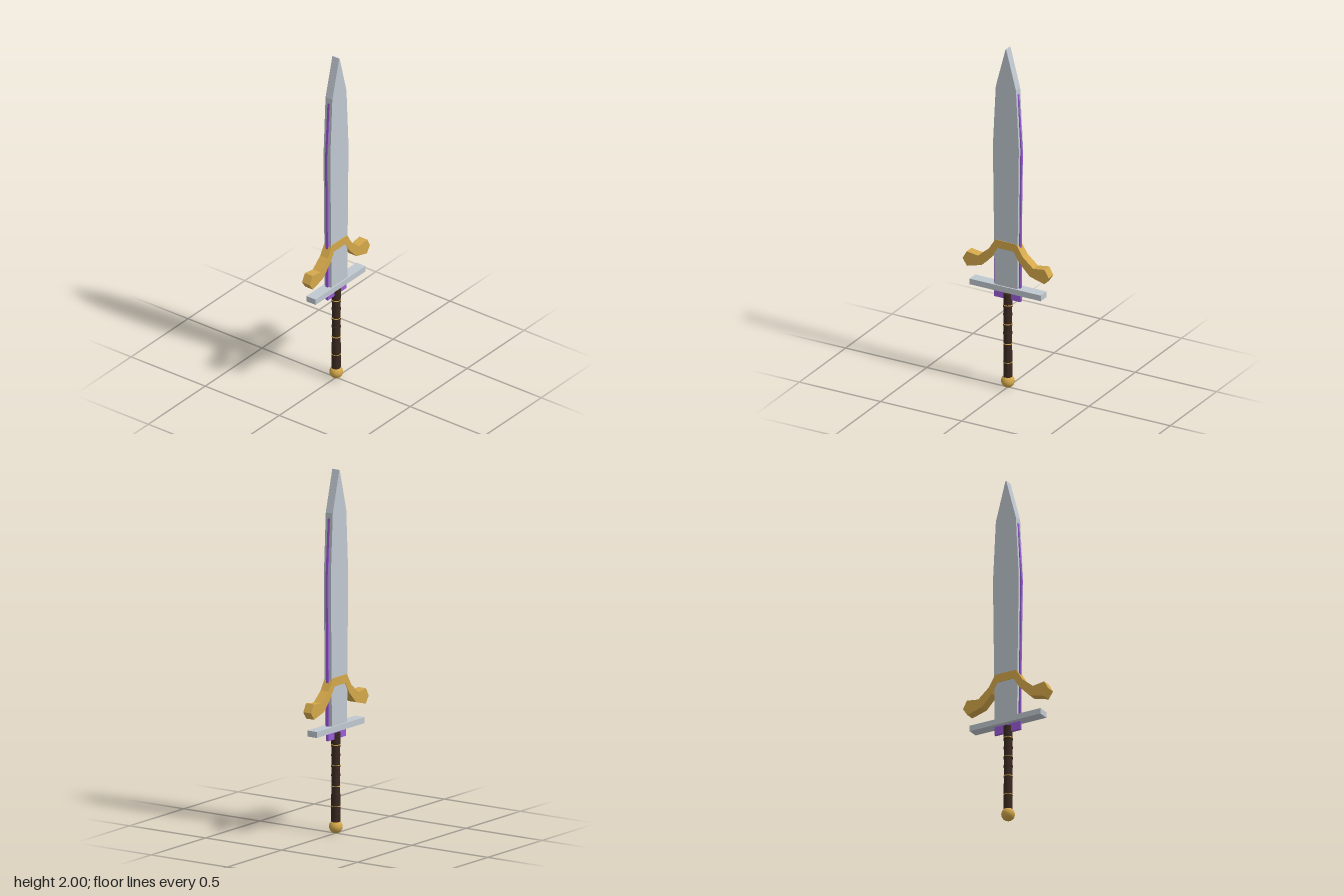
import * as THREE from 'three';

const mat = (color) => new THREE.MeshStandardMaterial({ color });
const flat = (color) => { const m = mat(color); m.flatShading = true; return m; };

const steel = flat(0xc0c8d0);
const purple = flat(0x9a5cd8);
const gold = flat(0xd4a84b);
const leather = mat(0x3a2820);
const brass = mat(0xd4a84b);

// Closed plate, symmetric in x, from the points of its left half
function mirroredPlate(half, depth, material, name) {
  const right = half.map(([x, y]) => [-x, y]).reverse();
  const points = [...half, ...right].map(([x, y]) => new THREE.Vector2(x, y));
  const geometry = new THREE.ExtrudeGeometry(new THREE.Shape(points), { depth, bevelEnabled: false });
  geometry.translate(0, 0, -depth / 2 - 0.001);
  const mesh = new THREE.Mesh(geometry, material);
  mesh.name = name;
  return mesh;
}

export function createModel() {
  const sword = new THREE.Group();
  sword.name = 'sword';

  // Blade, tapering to a point
  sword.add(mirroredPlate(
    [[-0.07, 0.58], [-0.073, 0.9], [-0.077, 1.2], [-0.08, 1.42], [-0.062, 1.77], [-0.002, 1.998]],
    0.046, steel, 'blade'));

  // Thin glowing core that shows along both edges and below the guard
  sword.add(mirroredPlate(
    [[-0.081, 0.52], [-0.081, 0.9], [-0.085, 1.2], [-0.088, 1.4], [-0.066, 1.74]],
    0.014, purple, 'edgeCore'));

  // Winged gold crossguard
  sword.add(mirroredPlate(
    [[-0.05, 0.818], [-0.085, 0.76], [-0.148, 0.695], [-0.238, 0.67], [-0.265, 0.71],
      [-0.24, 0.755], [-0.17, 0.745], [-0.105, 0.8], [-0.065, 0.865]],
    0.052, gold, 'wingedGuard'));

  // Straight lower guard
  const guard = new THREE.Mesh(new THREE.BoxGeometry(0.44, 0.033, 0.062), steel);
  guard.name = 'lowerGuard';
  guard.position.set(0, 0.584, -0.001);
  sword.add(guard);

  // Grip: cylinders stacked from pommel to guard
  const grip = new THREE.Group();
  grip.name = 'grip';
  const addCylinder = (name, radius, bottom, top, material) => {
    const mesh = new THREE.Mesh(new THREE.CylinderGeometry(radius, radius, top - bottom, 16), material);
    mesh.name = name;
    mesh.position.y = (bottom + top) / 2;
    grip.add(mesh);
  };
  addCylinder('gripCore', 0.0225, 0.05, 0.55, leather);
  addCylinder('gripBase', 0.025, 0.06, 0.215, leather);
  addCylinder('gripCollar', 0.025, 0.49, 0.555, leather);
  for (const y of [0.32, 0.37, 0.43, 0.48]) addCylinder('leatherBand', 0.026, y - 0.004, y + 0.004, leather);
  for (const y of [0.15, 0.26, 0.375, 0.487]) addCylinder('goldRing', 0.0258, y - 0.002, y + 0.002, brass);
  sword.add(grip);

  // Round pommel
  const pommel = new THREE.Mesh(new THREE.SphereGeometry(0.037, 24, 16), brass);
  pommel.name = 'pommel';
  pommel.position.y = 0.037;
  sword.add(pommel);

  return sword;
}
